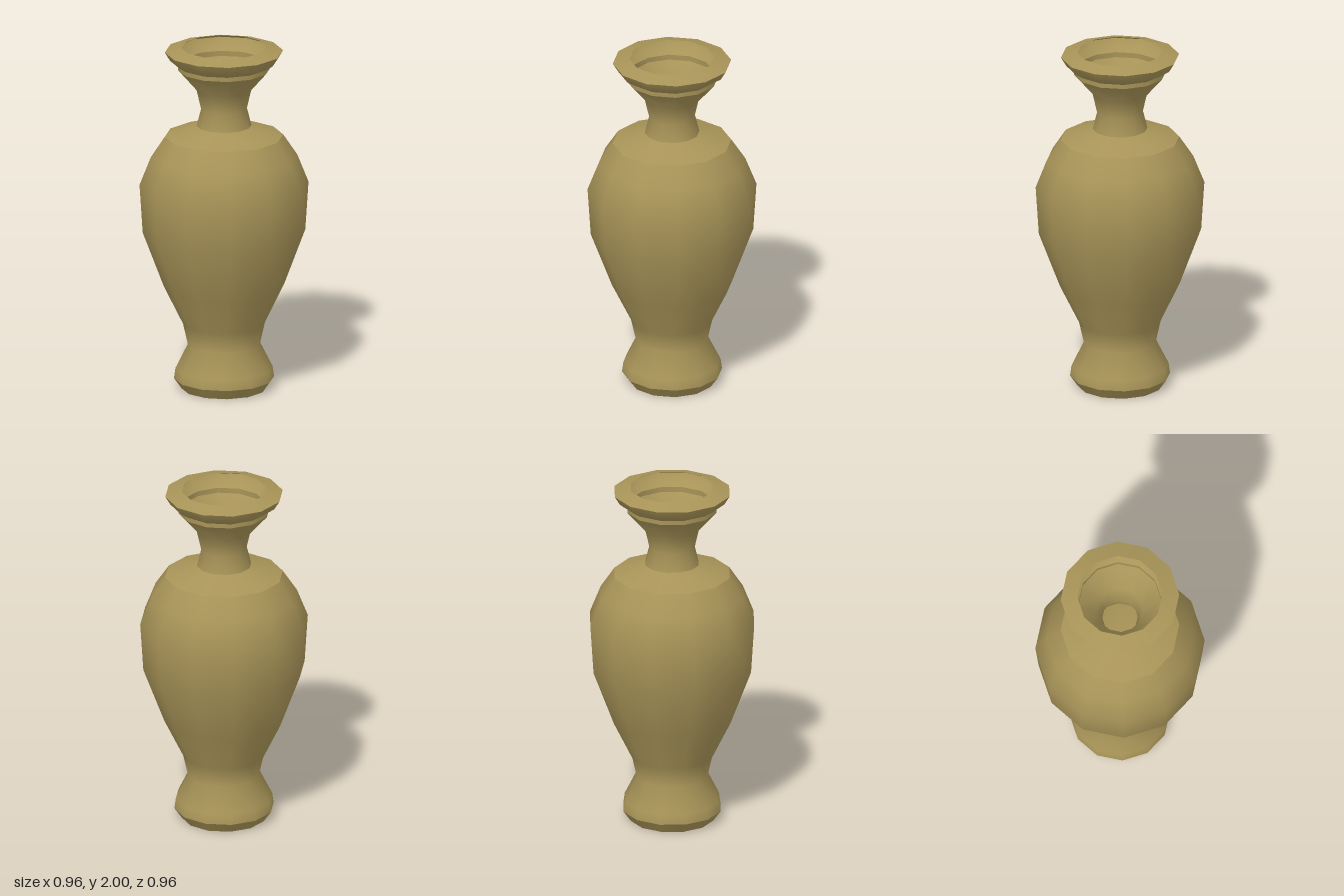
import * as THREE from 'three';

const SIDES = 12;

export function createModel() {
  const group = new THREE.Group();
  const material = new THREE.MeshStandardMaterial({ color: 0xa89458 });

  // Each profile is one smooth stretch of [radius, height]; joints between stretches stay sharp.
  const addRing = (name, ...profile) => {
    const points = profile.map(([r, y]) => new THREE.Vector2(r, y));
    const mesh = new THREE.Mesh(new THREE.LatheGeometry(points, SIDES), material);
    mesh.name = name;
    group.add(mesh);
  };

  // Foot
  addRing('footUnderside', [0, 0], [0.24, 0]);
  addRing('footBevel', [0.24, 0], [0.283, 0.06]);

  // Foot flare, waist and belly
  addRing('body',
    [0.283, 0.06], [0.275, 0.12], [0.205, 0.26], [0.232, 0.38], [0.34, 0.6],
    [0.46, 0.92], [0.478, 1.2], [0.415, 1.36], [0.335, 1.48]);
  addRing('shoulder', [0.335, 1.48], [0.155, 1.54]);

  // Neck and lip
  addRing('neck', [0.155, 1.54], [0.13, 1.64], [0.155, 1.75], [0.26, 1.87]);
  addRing('collar', [0.26, 1.87], [0.26, 1.895]);
  addRing('lip', [0.26, 1.895], [0.305, 1.925], [0.335, 1.975]);
  addRing('rim', [0.335, 1.975], [0.24, 2]);

  // Inside of the mouth, following the outer wall
  addRing('innerRim', [0.24, 2], [0.295, 1.975]);
  addRing('innerLip', [0.295, 1.975], [0.275, 1.94], [0.235, 1.91]);
  addRing('innerCollar', [0.235, 1.91], [0.235, 1.88]);
  addRing('innerNeck', [0.235, 1.88], [0.13, 1.76], [0.1, 1.64], [0.13, 1.52]);

  // Hollow of the body
  addRing('innerShoulder', [0.13, 1.52], [0.315, 1.455]);
  addRing('innerBody',
    [0.315, 1.455], [0.39, 1.345], [0.45, 1.2], [0.433, 0.93],
    [0.313, 0.61], [0.203, 0.385], [0.175, 0.26], [0.245, 0.115], [0.25, 0.07]);
  addRing('innerFloor', [0.25, 0.07], [0, 0.07]);

  return group;
}
